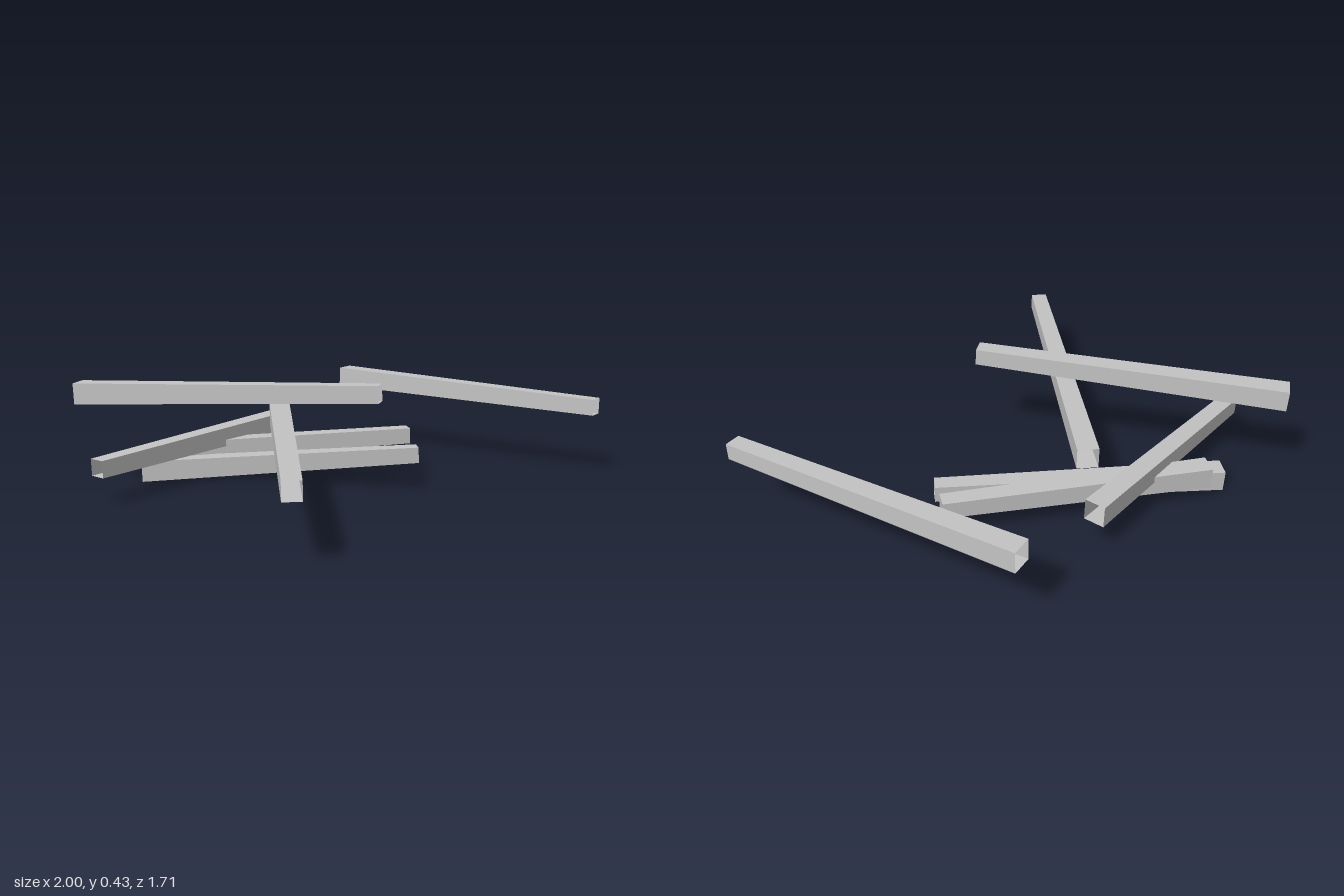
import * as THREE from 'three';

// centre points of each beam: thick end, then thin end
const BEAMS = [
  ['topBeam', [-0.978, 0.36, -0.403], [0.008, 0.4, 0.228]],
  ['looseBeam', [0.236, 0.301, -0.832], [0.973, 0.272, 0.104]],
  ['frontBeam', [-0.203, 0.237, -0.353], [-0.497, 0.243, 0.845]],
  ['crossBeam', [-0.133, 0.17, -0.569], [-0.955, 0.137, -0.069]],
  ['middleBeam', [-0.668, 0.103, -0.415], [0.331, 0.126, -0.296]],
  ['bottomBeam', [-0.752, 0.045, -0.38], [0.307, 0.08, -0.137]],
];
const THICK = 0.08;
const THIN = 0.063;

// hollow square tube with open ends, tapering along +z
function taperedTube(length) {
  return new THREE.CylinderGeometry(THIN / Math.SQRT2, THICK / Math.SQRT2, length, 4, 1, true)
    .rotateY(Math.PI / 4)
    .rotateX(Math.PI / 2);
}

export function createModel() {
  const group = new THREE.Group();
  group.name = 'beamPile';
  const grey = new THREE.MeshStandardMaterial({ color: 0xc4c4c4, flatShading: true, side: THREE.DoubleSide });
  grey.name = 'light grey';

  for (const [name, thickEnd, thinEnd] of BEAMS) {
    const a = new THREE.Vector3(...thickEnd);
    const b = new THREE.Vector3(...thinEnd);
    const beam = new THREE.Mesh(taperedTube(a.distanceTo(b)), grey);
    beam.name = name;
    beam.position.lerpVectors(a, b, 0.5);
    beam.lookAt(b);
    group.add(beam);
  }
  return group;
}
